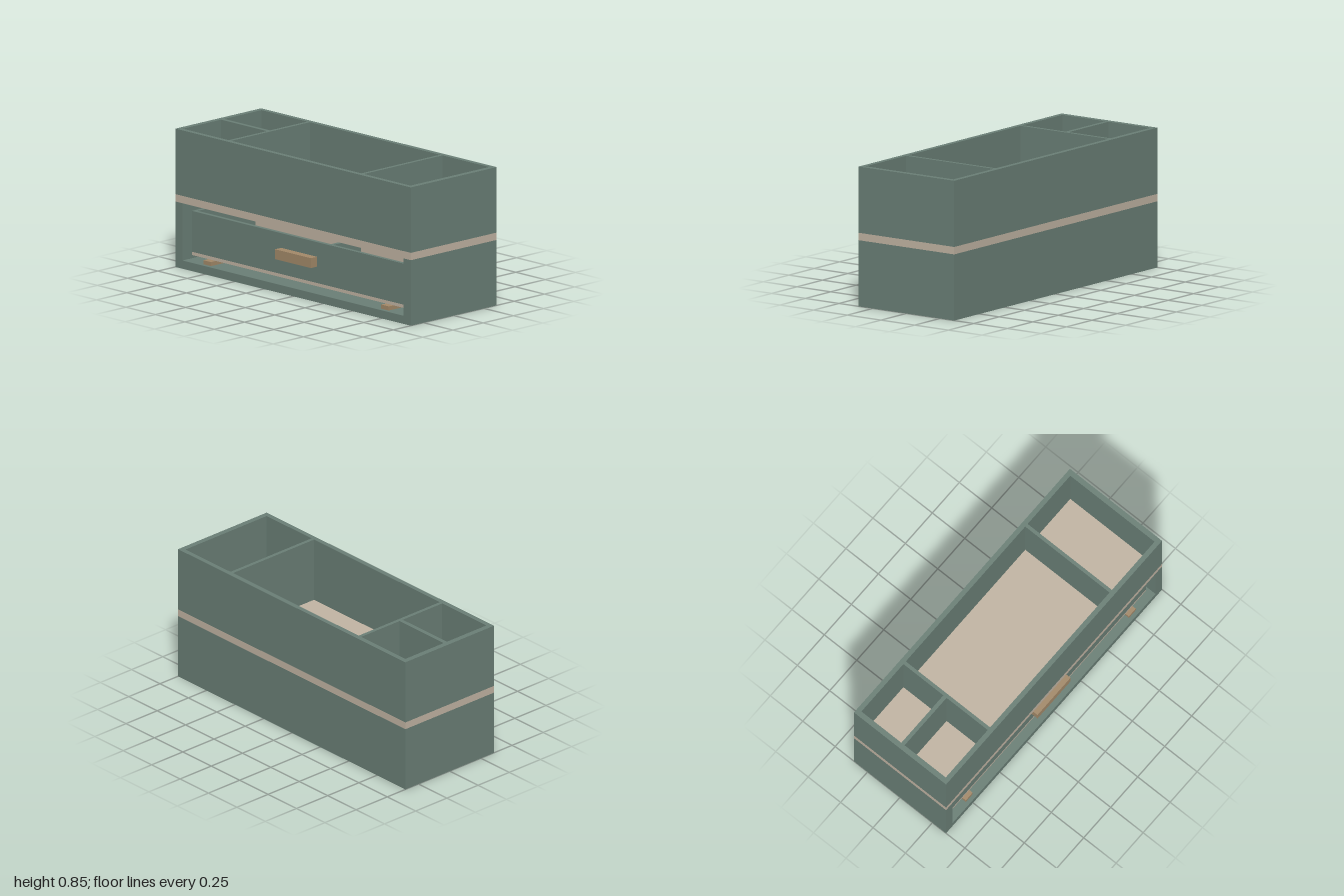
import * as THREE from 'three';

const green = new THREE.MeshStandardMaterial({ name: 'sage green', color: 0x6b8077 });
const beige = new THREE.MeshStandardMaterial({ name: 'beige', color: 0xc2b5a4 });
const wood = new THREE.MeshStandardMaterial({ name: 'light wood', color: 0xa48a6a });

// Overall half width, half depth and the main levels
const W = 1, D = 0.355;
const SHELF = 0.40, TRAY = 0.445, TOP = 0.845;

// Box given by its low and high limits on each axis
function block(parent, name, material, [x0, x1], [y0, y1], [z0, z1]) {
  const mesh = new THREE.Mesh(new THREE.BoxGeometry(x1 - x0, y1 - y0, z1 - z0), material);
  mesh.position.set((x0 + x1) / 2, (y0 + y1) / 2, (z0 + z1) / 2);
  mesh.name = name;
  parent.add(mesh);
}

// Flat plate with a rectangular hole, extruded
function frame(parent, name, outer, hole, depth) {
  const rect = (path, [x0, y0, x1, y1]) =>
    path.moveTo(x0, y0).lineTo(x1, y0).lineTo(x1, y1).lineTo(x0, y1).closePath();
  const shape = new THREE.Shape();
  rect(shape, outer);
  const opening = new THREE.Path();
  rect(opening, hole);
  shape.holes.push(opening);
  const mesh = new THREE.Mesh(new THREE.ExtrudeGeometry(shape, { depth, bevelEnabled: false }), green);
  mesh.name = name;
  parent.add(mesh);
  return mesh;
}

function group(parent, name) {
  const g = new THREE.Group();
  g.name = name;
  parent.add(g);
  return g;
}

export function createModel() {
  const model = group(new THREE.Group(), 'deskOrganizer');
  model.removeFromParent();

  // Lower case, open at the front
  const base = group(model, 'lowerCase');
  block(base, 'caseFloor', green, [-W, W], [0, 0.05], [-D, D]);
  block(base, 'caseBack', green, [-0.94, 0.94], [0.05, SHELF], [-D, -0.325]);
  block(base, 'caseSideRight', green, [-W, -0.94], [0.05, SHELF], [-D, D]);
  block(base, 'caseSideLeft', green, [0.94, W], [0.05, SHELF], [-D, D]);

  // Contrasting shelf between drawer and tray, also the tray floor
  block(model, 'middleShelf', beige, [-W, W], [SHELF, TRAY], [-D, D]);

  // Upper tray walls and dividers
  const tray = group(model, 'upperTray');
  const walls = frame(tray, 'trayWalls', [-W, -D, W, D], [-0.967, -0.325, 0.967, 0.325], TOP - TRAY);
  walls.rotation.x = -Math.PI / 2;
  walls.position.y = TRAY;
  block(tray, 'dividerRight', green, [-0.578, -0.556], [TRAY, TOP], [-0.325, 0.325]);
  block(tray, 'dividerLeft', green, [0.55, 0.572], [TRAY, TOP], [-0.325, 0.325]);
  block(tray, 'crossDivider', green, [-0.967, -0.578], [TRAY, TOP], [-0.017, 0.008]);

  // Drawer, set back from the opening
  const drawer = group(model, 'drawer');
  const front = 0.305, back = -0.22;
  block(drawer, 'drawerBottom', beige, [-0.91, 0.91], [0.08, 0.10], [back, front]);
  block(drawer, 'drawerFront', green, [-0.91, 0.91], [0.10, 0.35], [front - 0.025, front]);
  block(drawer, 'drawerBack', beige, [-0.91, 0.91], [0.10, 0.35], [back, back + 0.025]);
  for (const s of [-1, 1]) {
    const x = s * 0.898;
    block(drawer, 'drawerSide', green, [x - 0.012, x + 0.012], [0.10, 0.35], [back + 0.025, front - 0.025]);
  }
  block(drawer, 'drawerDivider', green, [-0.012, 0.012], [0.10, 0.26], [back + 0.025, front - 0.025]);
  block(drawer, 'handle', wood, [-0.153, 0.153], [0.20, 0.26], [front, D]);

  // Runners under the drawer
  for (const s of [-1, 1]) {
    const x = s * 0.755;
    block(model, 'runner', wood, [x - 0.032, x + 0.032], [0.05, 0.075], [back, 0.33]);
  }
  return model;
}
